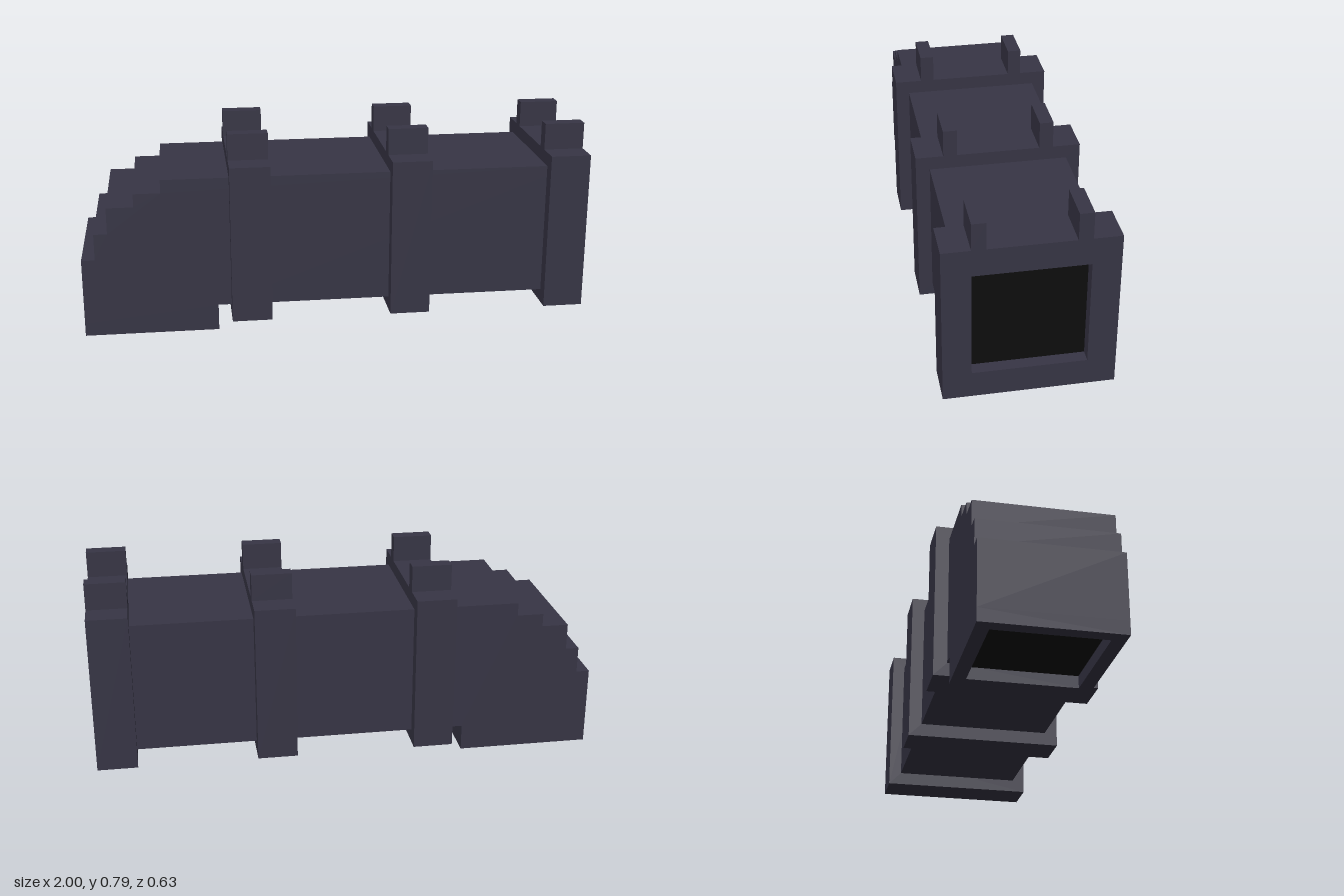
import * as THREE from 'three';

export function createModel() {
  const model = new THREE.Group();
  const U = 1 / 19; // block unit: the pipe is 38 units long

  const metal = new THREE.MeshStandardMaterial({ color: 0x373545, flatShading: true });
  metal.name = 'dark slate metal';
  const black = new THREE.MeshStandardMaterial({ color: 0x0d0d0d });
  black.name = 'black opening';

  function add(name, geometry, material, x = 0, y = 0, z = 0) {
    const mesh = new THREE.Mesh(geometry, material);
    mesh.name = name;
    mesh.position.set(x * U, y * U, z * U);
    model.add(mesh);
    return mesh;
  }
  const box = (w, h, d) => new THREE.BoxGeometry(w * U, h * U, d * U);

  // Square frame in the XY plane, centred, extruded along z by the given depth
  function frame(outer, inner, depth) {
    const square = (path, s) => {
      const h = (s * U) / 2;
      path.moveTo(-h, -h).lineTo(h, -h).lineTo(h, h).lineTo(-h, h).closePath();
      return path;
    };
    const shape = square(new THREE.Shape(), outer);
    shape.holes.push(square(new THREE.Path(), inner));
    return new THREE.ExtrudeGeometry(shape, { depth: depth * U, bevelEnabled: false })
      .translate(0, 0, (-depth * U) / 2);
  }

  // Pipe body with the stepped elbow, drawn from the side
  const profile = [
    [-19, 1], [-9, 1], [-9, 2], [18, 2], [18, 12], [-13, 12], [-13, 11],
    [-15, 11], [-15, 10], [-17, 10], [-17, 8], [-18, 8], [-18, 6], [-19, 6],
  ].map(([x, y]) => new THREE.Vector2(x * U, y * U));
  const body = new THREE.ExtrudeGeometry(new THREE.Shape(profile), { depth: 10 * U, bevelEnabled: false });
  add('pipeBody', body.translate(0, 0, -5 * U), metal);

  // Downward outlet: rim and recessed black face
  add('outletRim', frame(10, 8, 1).rotateX(Math.PI / 2), metal, -14, 0.5, 0);
  add('outletOpening', box(8, 0.08, 8), black, -14, 0.96, 0);

  // Collars, the last one being the open end, each with two lugs on top
  for (const [name, x] of [['rearCollar', -6.5], ['middleCollar', 5.5], ['endCollar', 17.5]]) {
    const geometry = name === 'endCollar' ? frame(12, 8, 3).rotateY(Math.PI / 2) : box(3, 12, 12);
    add(name, geometry, metal, x, 7, 0);
    for (const side of [-1, 1]) add(name + 'Lug', box(3, 2, 1), metal, x, 14, side * 3.5);
  }

  // Recessed black face of the open end
  add('endOpening', box(0.08, 8, 8), black, 18.04, 7, 0);

  return model;
}
